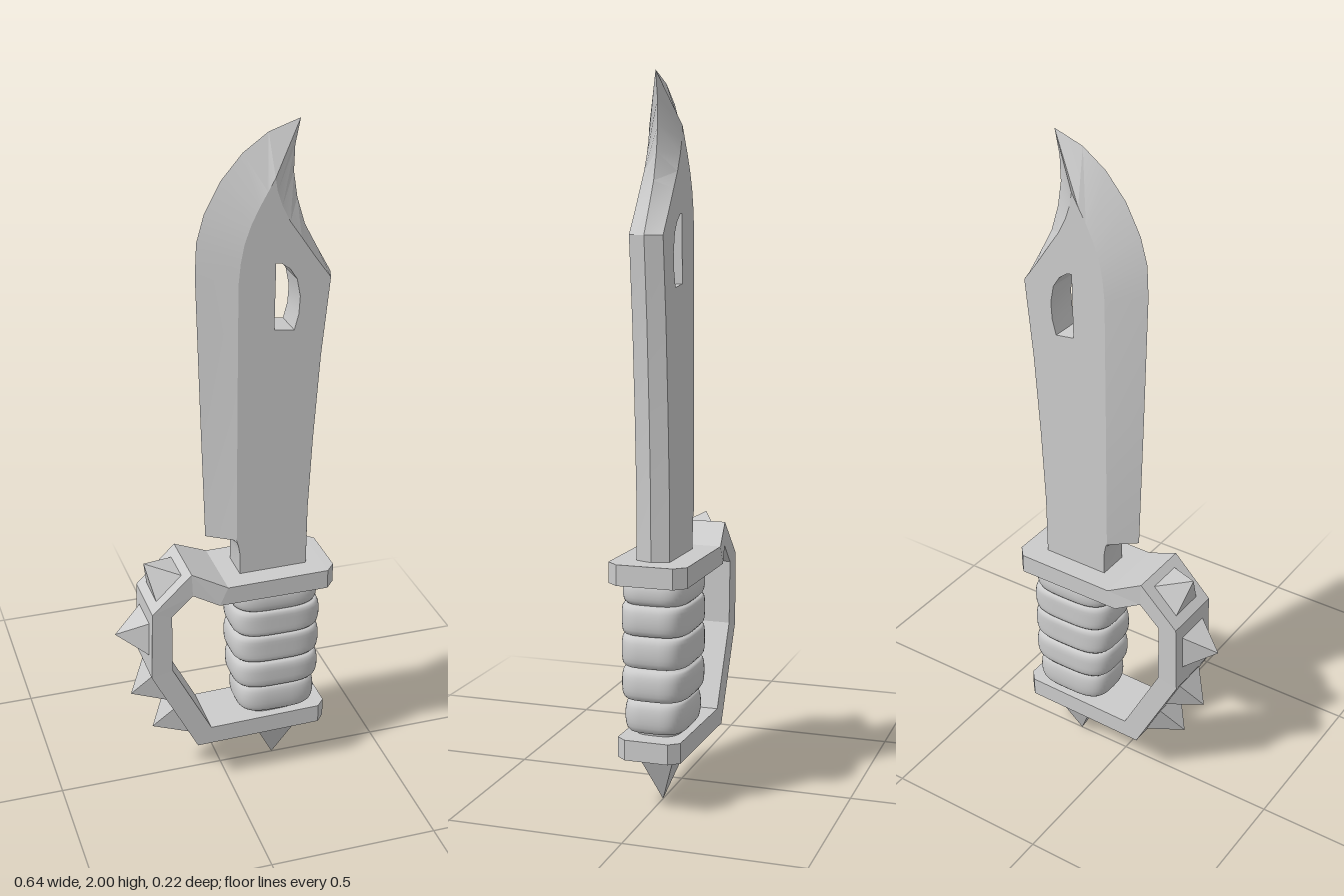
import * as THREE from 'three';
import { mergeVertices, toCreasedNormals } from 'three/addons/utils/BufferGeometryUtils.js';

const smooth = new THREE.MeshStandardMaterial({ color: 0xcccccc });
const flat = new THREE.MeshStandardMaterial({ color: 0xcccccc, flatShading: true });

// Collects quads and triangles given as arrays of [x, y, z] corners
function fromFaces(faces) {
  const pos = [];
  for (const f of faces) {
    for (let i = 1; i < f.length - 1; i++) pos.push(...f[0], ...f[i], ...f[i + 1]);
  }
  const g = new THREE.BufferGeometry();
  g.setAttribute('position', new THREE.Float32BufferAttribute(pos, 3));
  g.computeVertexNormals();
  return g;
}

function add(group, name, geometry, material) {
  const mesh = new THREE.Mesh(geometry, material);
  mesh.name = name;
  group.add(mesh);
  return mesh;
}

// Blade: thin outer rim at z = 0, flat faces inside an inner rim, bevels between
function bladeGeometry() {
  const T = 0.047;
  // [outer x, outer y, inner x, inner y], clockwise
  const rim = [
    [0.265, 0.66, 0.247, 0.66], [0.045, 0.66, 0.045, 0.66],
    [0.045, 0.76, 0.045, 0.76], [0.035, 0.795, 0.04, 0.79],
    [0.01, 0.807, 0.036, 0.8], [-0.045, 0.81, 0.035, 0.807],
    [-0.058, 1.2, 0.035, 1.2], [-0.07, 1.6, 0.036, 1.58],
    [-0.066, 1.69, 0.042, 1.64], [-0.045, 1.765, 0.052, 1.69],
    [0, 1.85, 0.07, 1.74], [0.06, 1.92, 0.092, 1.785],
    [0.13, 1.97, 0.115, 1.825], [0.217, 2, 0.135, 1.86],
    [0.203, 1.93, 0.141, 1.825], [0.201, 1.86, 0.155, 1.785],
    [0.212, 1.79, 0.178, 1.74], [0.235, 1.715, 0.21, 1.695],
    [0.27, 1.65, 0.25, 1.637], [0.312, 1.575, 0.296, 1.575],
    [0.291, 1.35, 0.274, 1.35], [0.275, 1.1, 0.258, 1.1],
    [0.266, 0.88, 0.248, 0.88],
  ];
  // Window through the blade, counter-clockwise
  const hole = [
    [0.138, 1.442], [0.195, 1.435], [0.207, 1.48], [0.21, 1.53],
    [0.2, 1.58], [0.18, 1.61], [0.155, 1.628], [0.14, 1.63],
  ];
  const faces = [];
  rim.forEach((a, i) => {
    const b = rim[(i + 1) % rim.length];
    for (const z of [T, -T]) {
      const q = [[a[0], a[1], 0], [a[2], a[3], z], [b[2], b[3], z], [b[0], b[1], 0]];
      faces.push(z > 0 ? q : q.reverse());
    }
  });
  hole.forEach((a, i) => {
    const b = hole[(i + 1) % hole.length];
    faces.push([[...a, -T], [...a, T], [...b, T], [...b, -T]]);
  });
  const shape = new THREE.Shape(rim.map((p) => new THREE.Vector2(p[2], p[3])));
  shape.holes.push(new THREE.Path(hole.map((p) => new THREE.Vector2(...p))));
  const side = new THREE.ShapeGeometry(shape).toNonIndexed().attributes.position;
  for (let i = 0; i < side.count; i += 3) {
    const tri = [0, 1, 2].map((k) => [side.getX(i + k), side.getY(i + k)]);
    faces.push(tri.map((p) => [...p, T]));
    faces.push(tri.reverse().map((p) => [...p, -T]));
  }
  return toCreasedNormals(fromFaces(faces), 0.3);
}

// Guard: one faceted band from the crossguard round the knuckles to the pommel plate
function guardGeometry() {
  // [outer x, outer y, inner x, inner y, half width]
  const stations = [
    [0.32, 0.7, 0.32, 0.642, 0.08], [0.292, 0.7, 0.292, 0.642, 0.112],
    [-0.01, 0.695, -0.035, 0.64, 0.112], [-0.113, 0.745, -0.11, 0.675, 0.094],
    [-0.23, 0.63, -0.172, 0.615, 0.092], [-0.235, 0.415, -0.172, 0.43, 0.09],
    [-0.097, 0.145, -0.055, 0.202, 0.09], [0.285, 0.153, 0.285, 0.21, 0.09],
    [0.31, 0.154, 0.31, 0.211, 0.062],
  ].map(([ox, oy, ix, iy, w]) => [[ox, oy, w], [ox, oy, -w], [ix, iy, -w], [ix, iy, w]]);
  const faces = [[...stations[0]].reverse(), stations[stations.length - 1]];
  for (let i = 0; i < stations.length - 1; i++) {
    const a = stations[i], b = stations[i + 1];
    for (let k = 0; k < 4; k++) {
      const n = (k + 1) % 4;
      faces.push([a[k], a[n], b[n], b[k]]);
    }
  }
  return fromFaces(faces);
}

// Grip: stacked cushions with a rounded-rectangle section
function gripGeometry() {
  // [centre y, half height, half length in x, centre x]
  const rings = [
    [0.265, 0.045, 0.122, 0.162], [0.357, 0.044, 0.134, 0.16],
    [0.45, 0.045, 0.137, 0.158], [0.538, 0.043, 0.137, 0.158], [0.613, 0.034, 0.132, 0.153],
  ];
  const profile = [new THREE.Vector2(0.085, 0.19), new THREE.Vector2(0.085, 0.217)];
  const centres = [0.162, 0.162];
  for (const [y, h, r, cx] of rings) {
    for (let i = 0; i <= 10; i++) {
      const a = -Math.PI / 2 + (i / 10) * Math.PI;
      const bulge = Math.sqrt(Math.max(0, Math.cos(a)));
      profile.push(new THREE.Vector2(r - 0.028 * (1 - bulge), y + h * 0.99 * Math.sin(a)));
      centres.push(cx);
    }
  }
  let g = new THREE.LatheGeometry(profile, 48);
  const p = g.attributes.position;
  const squared = (v) => Math.sign(v) * Math.pow(Math.abs(v), 0.58);
  for (let i = 0; i < p.count; i++) {
    const r = Math.hypot(p.getX(i), p.getZ(i));
    const depth = 0.098 * Math.min(1, r / 0.132);
    p.setXYZ(i, centres[i % profile.length] + r * squared(p.getX(i) / r),
      p.getY(i), depth * squared(p.getZ(i) / r));
  }
  g.deleteAttribute('uv');
  g.deleteAttribute('normal');
  g = mergeVertices(g, 1e-5);
  g.computeVertexNormals();
  return g;
}

// Four-sided spike from a base centre to its tip
function addSpike(group, name, [bx, by], [tx, ty], halfX, halfZ) {
  const dir = new THREE.Vector3(tx - bx, ty - by, 0);
  const h = dir.length();
  const g = new THREE.ConeGeometry(Math.SQRT2, h, 4, 1);
  g.rotateY(Math.PI / 4).scale(halfX, 1, halfZ).translate(0, h / 2, 0);
  const mesh = add(group, name, g, flat);
  mesh.position.set(bx, by, 0);
  mesh.rotation.z = Math.atan2(-dir.x, dir.y);
}

export function createModel() {
  const model = new THREE.Group();
  model.name = 'knuckleKnife';
  add(model, 'blade', bladeGeometry(), smooth);
  add(model, 'knuckleGuard', guardGeometry(), flat);
  add(model, 'grip', gripGeometry(), smooth);

  // Spikes along the knuckle guard
  const spikes = new THREE.Group();
  spikes.name = 'knuckleSpikes';
  model.add(spikes);
  [
    [[-0.168, 0.686], [-0.23, 0.75]], [[-0.23, 0.527], [-0.32, 0.527]],
    [[-0.198, 0.352], [-0.278, 0.31]], [[-0.134, 0.222], [-0.214, 0.178]],
  ].forEach(([base, tip], i) => addSpike(spikes, `knuckleSpike${i + 1}`, base, tip, 0.055, 0.057));

  addSpike(model, 'pommelSpike', [0.165, 0.155], [0.168, 0], 0.073, 0.057);
  return model;
}
